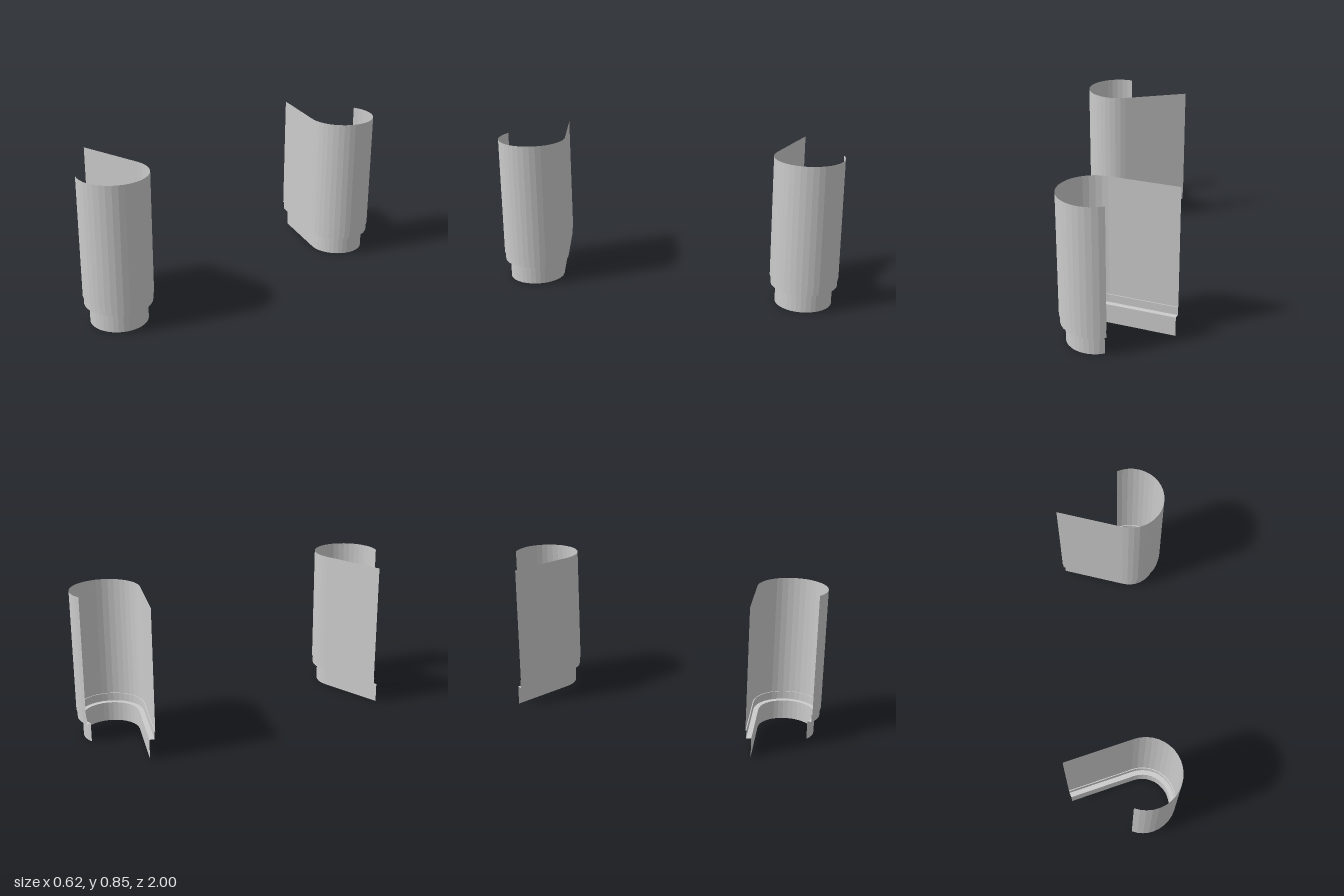
import * as THREE from 'three';

const CENTER = { x: 0.118, z: 0.807 };
const RADIUS = 0.193;
const ARC_STEPS = 22;
const TIP = -22.3 * Math.PI / 180;      // free lip of the curl
const TANGENT = 196.5 * Math.PI / 180;  // where the curl meets the flat wing

// Vertical section, top to bottom: [height, inward step]
const SECTION = [
  [0.853, 0], [0.16, 0],
  [0.16, 0.005], [0.113, 0.005],
  [0.113, 0.033], [0, 0.033],
];

// Hook-shaped plan: curl from the lip round to the wing, then the straight wing
function planPath(inset) {
  const r = RADIUS - inset;
  const points = [];
  for (let i = 0; i <= ARC_STEPS; i++) {
    const a = TIP + (TANGENT - TIP) * i / ARC_STEPS;
    points.push([CENTER.x + r * Math.sin(a), CENTER.z + r * Math.cos(a)]);
  }
  const [x, z] = points[ARC_STEPS];
  const endX = -0.313 + inset * 0.35;
  points.push([endX, z + (x - endX) * Math.tan(TANGENT - Math.PI)]);
  return points;
}

// Open sheet swept along the plan, stepping inward near the foot
function hookSheet(side) {
  const cols = ARC_STEPS + 2;
  const sheet = new THREE.PlaneGeometry(1, 1, cols - 1, SECTION.length - 1);
  const pos = sheet.attributes.position;
  SECTION.forEach(([y, inset], row) => {
    const path = planPath(inset);
    if (side < 0) path.reverse(); // keeps the outside facing out when mirrored
    path.forEach(([x, z], col) => pos.setXYZ(row * cols + col, x, y, z * side));
  });
  const geometry = sheet.toNonIndexed();
  geometry.computeVertexNormals();
  return geometry;
}

export function createModel() {
  const group = new THREE.Group();
  group.name = 'hookPanels';
  const material = new THREE.MeshStandardMaterial({
    color: 0xcccccc, flatShading: true, side: THREE.DoubleSide,
  });
  for (const [name, side] of [['frontHookPanel', 1], ['backHookPanel', -1]]) {
    const mesh = new THREE.Mesh(hookSheet(side), material);
    mesh.name = name;
    group.add(mesh);
  }
  return group;
}
